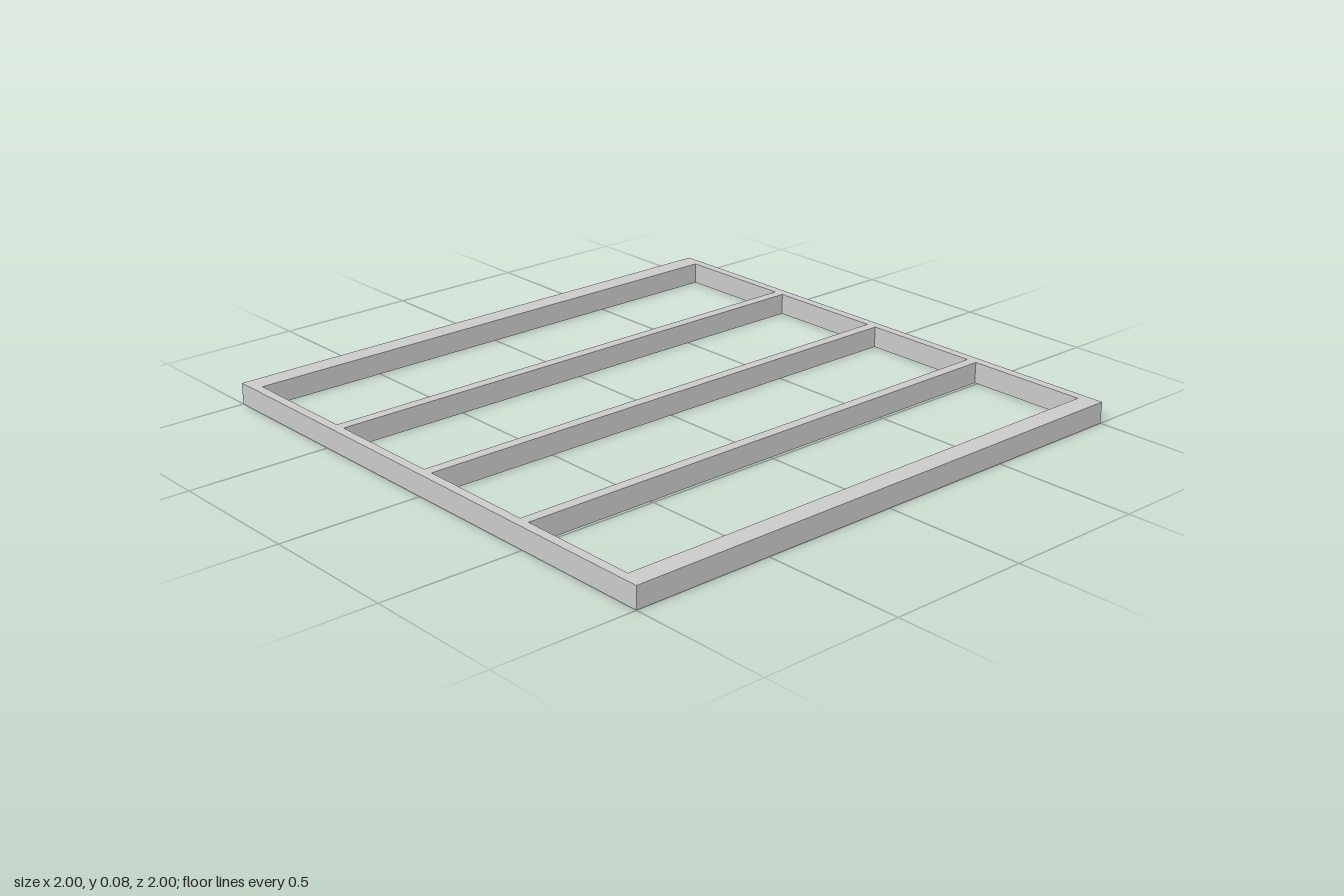
import * as THREE from 'three';

const HEIGHT = 0.075;
const HALF = 1;          // outer half size of the frame
const INNER_X = 0.927;   // half width of the opening
const INNER_Z = 0.967;   // half depth of the opening
const SLAT_WIDTH = 0.038;
const SLAT_SPACING = 0.47;

// Traces a centred rectangle on a shape or path
function rectangle(path, halfX, halfZ) {
  path.moveTo(-halfX, -halfZ);
  path.lineTo(halfX, -halfZ);
  path.lineTo(halfX, halfZ);
  path.lineTo(-halfX, halfZ);
  path.closePath();
  return path;
}

export function createModel() {
  const model = new THREE.Group();
  model.name = 'slattedFrame';
  const material = new THREE.MeshStandardMaterial({ color: 0xcccccc });

  // Outer frame: wide side rails, narrow front and back rails
  const outline = rectangle(new THREE.Shape(), HALF, HALF);
  outline.holes.push(rectangle(new THREE.Path(), INNER_X, INNER_Z));
  const frameGeometry = new THREE.ExtrudeGeometry(outline, { depth: HEIGHT, bevelEnabled: false });
  frameGeometry.rotateX(-Math.PI / 2);
  const frame = new THREE.Mesh(frameGeometry, material);
  frame.name = 'outerFrame';
  model.add(frame);

  // Three slats running front to back, flush with the frame
  const slatGeometry = new THREE.BoxGeometry(SLAT_WIDTH, HEIGHT, INNER_Z * 2);
  const names = ['rightSlat', 'middleSlat', 'leftSlat'];
  names.forEach((name, i) => {
    const slat = new THREE.Mesh(slatGeometry, material);
    slat.name = name;
    slat.position.set((i - 1) * SLAT_SPACING, HEIGHT / 2, 0);
    model.add(slat);
  });

  return model;
}
